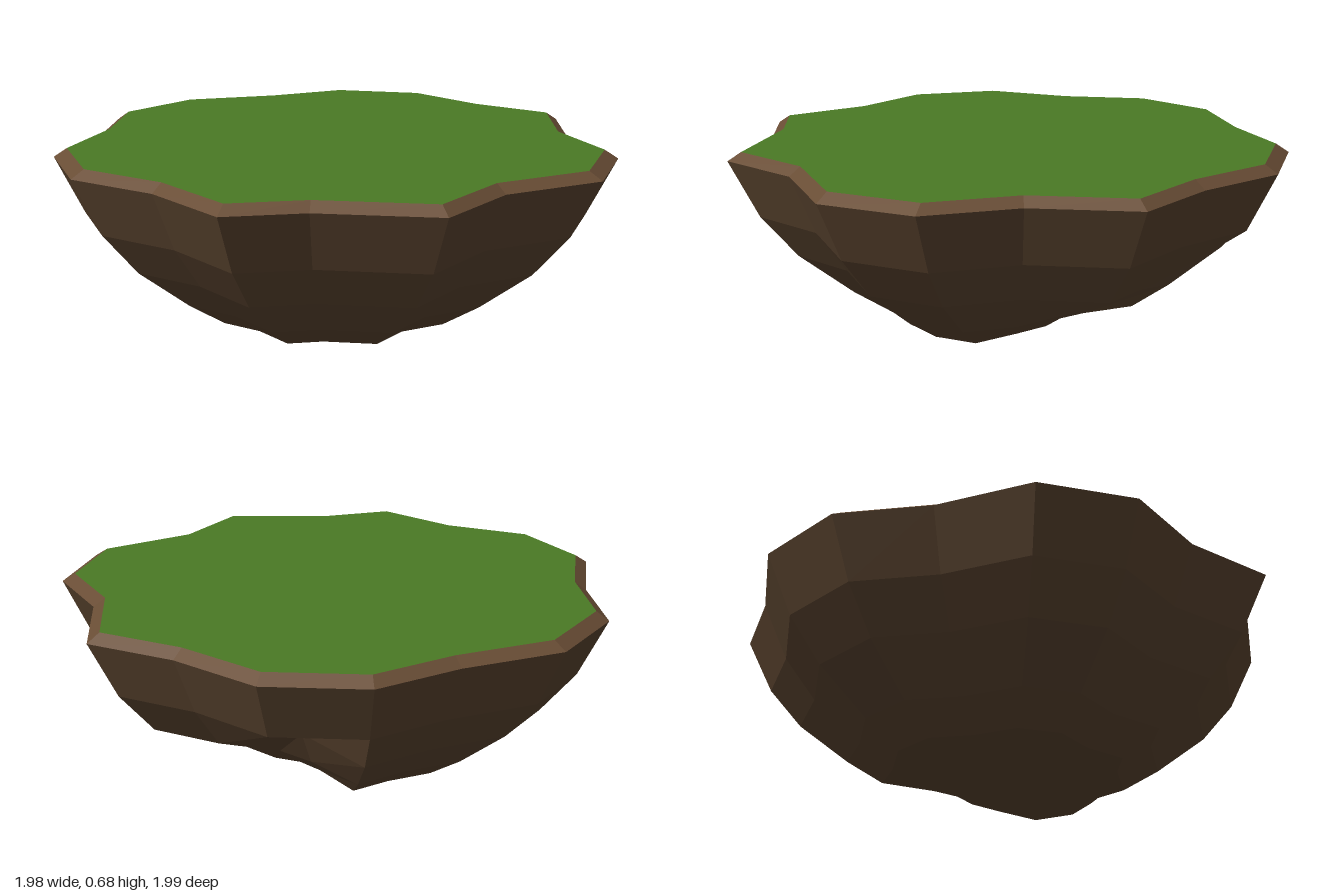
import * as THREE from 'three';

// Rim outline as [x, z], starting at the back and running towards +x
const OUTLINE = [
  [0.21, -1], [0.49, -0.75], [0.81, -0.64], [0.985, -0.34], [0.895, 0.03], [0.97, 0.36],
  [0.66, 0.645], [0.515, 0.885], [0.16, 0.885], [-0.17, 0.99], [-0.5, 0.87], [-0.69, 0.57],
  [-0.935, 0.33], [-0.99, -0.02], [-0.83, -0.36], [-0.74, -0.67], [-0.46, -0.89], [-0.11, -0.91],
];
const COUNT = OUTLINE.length;

// Bowl rings as [height, scale of the outline], top to bottom
const RINGS = [[0.65, 1], [0.44, 0.9], [0.285, 0.775], [0.13, 0.585], [0.04, 0.45]];

// Columns of the hollow at the back: column -> scale per ring
const HOLLOW = {
  0: [1, 0.9, 0.775, 0.43, 0.29],
  1: [1, 0.9, 0.775, 0.585, 0.39],
  16: [1, 0.9, 0.52, 0.41, 0.29],
  17: [1, 0.9, 0.775, 0.41, 0.28],
};

const ring = (y, scaleAt) => OUTLINE.map(([x, z], i) => [x * scaleAt(i), y, z * scaleAt(i)]);

// Band of quads between an upper and a lower ring
function band(upper, lower, out) {
  for (let i = 0; i < COUNT; i++) {
    const j = (i + 1) % COUNT;
    out.push(...lower[i], ...upper[i], ...lower[j]);
    out.push(...upper[i], ...upper[j], ...lower[j]);
  }
}

// Fan closing a ring to a centre point
function fan(points, centre, faceUp, out) {
  for (let i = 0; i < COUNT; i++) {
    const a = points[i], b = points[(i + 1) % COUNT];
    out.push(...centre, ...(faceUp ? b : a), ...(faceUp ? a : b));
  }
}

function facetedMesh(name, positions, material) {
  const geometry = new THREE.BufferGeometry();
  geometry.setAttribute('position', new THREE.Float32BufferAttribute(positions, 3));
  geometry.computeVertexNormals();
  const mesh = new THREE.Mesh(geometry, material);
  mesh.name = name;
  return mesh;
}

function flatMaterial(name, color) {
  const material = new THREE.MeshStandardMaterial({ color });
  material.name = name;
  return material;
}

export function createModel() {
  const group = new THREE.Group();
  group.name = 'floatingIsland';
  const grass = flatMaterial('grass green', 0x4a7a25);
  const soil = flatMaterial('soil brown', 0x5c4530);
  const edge = flatMaterial('edge brown', 0x694d35);

  // Rocky underside, tapering to a shallow point
  const rings = RINGS.map(([y, s], k) => ring(y, (i) => (HOLLOW[i] ? HOLLOW[i][k] : s)));
  const under = [];
  for (let k = 0; k < rings.length - 1; k++) band(rings[k], rings[k + 1], under);
  fan(rings[rings.length - 1], [0.03, 0, 0], false, under);
  group.add(facetedMesh('rockyUnderside', under, soil));

  // Bevelled rim
  const top = ring(0.68, () => 0.953);
  const rim = [];
  band(top, rings[0], rim);
  group.add(facetedMesh('bevelledRim', rim, edge));

  // Flat grass top
  const lawn = [];
  fan(top, [0, 0.68, 0], true, lawn);
  group.add(facetedMesh('grassTop', lawn, grass));

  return group;
}
